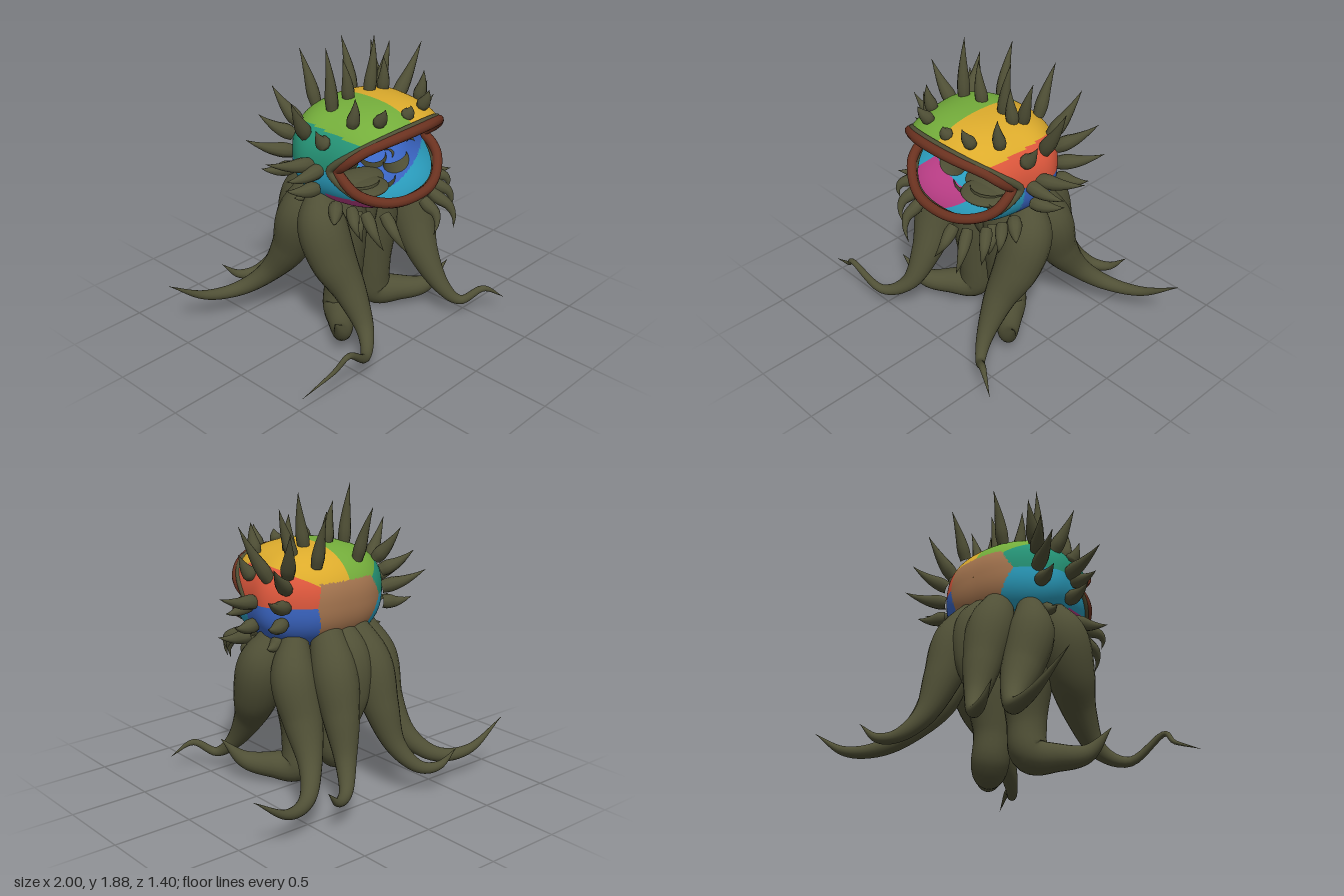
import * as THREE from 'three';

const mat = (name, color, double) => {
  const m = new THREE.MeshStandardMaterial({ color, side: double ? THREE.DoubleSide : THREE.FrontSide });
  m.name = name;
  return m;
};

// Smooth wrapped surface from rows of cross-sections; paint(centre) picks a material index
function loft(rows, cols, point, paint) {
  const pos = [], buckets = [];
  for (let i = 0; i <= rows; i++)
    for (let j = 0; j < cols; j++) pos.push(...point(i, j).toArray());
  const at = k => new THREE.Vector3().fromArray(pos, k * 3);
  for (let i = 0; i < rows; i++)
    for (let j = 0; j < cols; j++) {
      const a = i * cols + j, b = i * cols + (j + 1) % cols, c = a + cols, d = b + cols;
      const k = paint ? paint(at(a).add(at(b)).add(at(c)).add(at(d)).multiplyScalar(0.25)) : 0;
      (buckets[k] ??= []).push(a, b, c, b, d, c);
    }
  const geo = new THREE.BufferGeometry();
  const index = [];
  buckets.forEach((list, k) => {
    geo.addGroup(index.length, list.length, k);
    for (const v of list) index.push(v);
  });
  if (!paint) geo.clearGroups();
  geo.setAttribute('position', new THREE.Float32BufferAttribute(pos, 3));
  geo.setIndex(index);
  geo.computeVertexNormals();
  return geo;
}

// Tapered limb through points [x, y, z, radius]
function limb(pts, rows, cols) {
  const path = new THREE.CatmullRomCurve3(pts.map(p => new THREE.Vector3(p[0], p[1], p[2])), false, 'catmullrom', 0.5);
  const size = new THREE.CatmullRomCurve3(pts.map(p => new THREE.Vector3(p[3], 0, 0)), false, 'catmullrom', 0.5);
  const rings = [];
  let n = new THREE.Vector3(0.31, 0.2, 0.93);
  for (let i = 0; i <= rows; i++) {
    const t = path.getTangent(i / rows);
    n = n.clone().addScaledVector(t, -n.dot(t)).normalize();
    rings.push({ p: path.getPoint(i / rows), n, b: t.clone().cross(n), r: Math.max(0.001, size.getPoint(i / rows).x) });
  }
  return loft(rows, cols, (i, j) => {
    const { p, n, b, r } = rings[i], a = j / cols * Math.PI * 2;
    return p.clone().addScaledVector(n, r * Math.cos(a)).addScaledVector(b, r * Math.sin(a));
  });
}

// Rounded-box-like ellipsoid of the head, with cheeks swelling behind the mouth
const C = new THREE.Vector3(0, 1.21, 0.12), A = [0.43, 0.32, 0.435], E = 2.4;
function headPoint(t, phi) {
  const d = new THREE.Vector3(Math.sin(phi) * Math.cos(t), Math.sin(phi) * Math.sin(t), -Math.cos(phi));
  const q = d.toArray().reduce((s, v, k) => s + Math.abs(v / A[k]) ** E, 0);
  const p = d.multiplyScalar(q ** (-1 / E)).add(C);
  p.x *= 1 + 0.1 * Math.exp(-(((p.z + 0.05) / 0.15) ** 2));
  return p;
}
// Angle at which the shell meets the wedge-shaped mouth
function mouthAngle(t) {
  let lo = Math.PI / 2 - 0.3, hi = Math.PI;
  for (let k = 0; k < 30; k++) {
    const mid = (lo + hi) / 2, p = headPoint(t, mid);
    if (p.z > 0.16 + 1.4 * Math.hypot(p.y - C.y, 0.03)) hi = mid; else lo = mid;
  }
  return lo;
}

// Patch index: tan, green, yellow, red, teal, blue, cyan, magenta
function patch({ x, y, z }) {
  const h = y - C.y, ax = Math.abs(x);
  if (z < -0.12 && x > -0.27 + Math.abs(h) * 0.6 && x < 0.23 - Math.abs(h) * 0.2 && h < 0.14 && h > -0.2) return 0;
  if (h > 0) {
    if (h > (0.6 - 0.2 * Math.max(0, z)) * ax) return x < 0 ? 1 : 2;
    return x < 0 ? 4 : 3;
  }
  if (x > 0.17 && z < 0.17) return 5;
  if (x < -0.04 && z > 0.12 && h < -0.17) return 7;
  return 6;
}

export function createModel() {
  const root = new THREE.Group();
  const olive = mat('olive skin', 0x505036);
  const brown = mat('brown lip', 0x6b3220);
  const patches = [['tan', 0xa5754f], ['green', 0x74ad3b], ['yellow', 0xdcab2c], ['red', 0xdc573c],
    ['teal', 0x259275], ['blue', 0x3b66c4], ['cyan', 0x2b9fc0], ['magenta', 0xb93d85]].map(([n, c]) => mat(n + ' patch', c, true));
  const add = (name, geo, material, parent = root) => {
    const m = new THREE.Mesh(geo, material);
    m.name = name;
    parent.add(m);
    return m;
  };

  // Patchwork head shell, from the back pole to the mouth rim
  const cols = 192, rows = 100;
  const angles = Array.from({ length: cols }, (_, j) => mouthAngle(j / cols * Math.PI * 2));
  add('head', loft(rows, cols, (i, j) => headPoint(j / cols * Math.PI * 2, Math.max(0.002, angles[j] * i / rows)), patch), patches);

  // Lip and its outer rim follow the mouth edge
  const edge = Array.from({ length: 48 }, (_, j) => headPoint(j / 48 * Math.PI * 2, angles[j * 4]));
  const ring = (pts, r) => new THREE.TubeGeometry(new THREE.CatmullRomCurve3(pts, true), 120, r, 10, true);
  const lipPoint = p => {
    const dy = Math.abs(p.y - C.y);
    // blunt corners and a slight ripple along the jaw
    return new THREE.Vector3(p.x * (0.9 + 0.07 * Math.min(1, dy / 0.12)), C.y + (p.y - C.y) * 0.97, p.z + 0.02 + 0.015 * Math.sin(dy * 28));
  };
  add('lip', ring(edge.map(lipPoint), 0.031), brown);
  add('mouthRim', ring(edge.map(p => new THREE.Vector3(p.x * 0.975, C.y + (p.y - C.y) * 1.03, p.z - 0.012)), 0.024), olive);

  // Dark throat patch on the floor of the mouth
  const throat = add('throat', new THREE.SphereGeometry(1, 32, 12), olive);
  throat.scale.set(0.16, 0.03, 0.14);
  throat.position.set(0, 0.92, 0.08);

  // Core that joins the tentacles under the head
  const core = add('body', new THREE.SphereGeometry(1, 32, 20), olive);
  core.scale.set(0.34, 0.14, 0.17);
  core.position.set(0, 0.83, -0.04);

  // Webs of skin between the tentacles, at the rear and the front
  add('rearWeb', limb([[0, 1.05, -0.16, 0.09], [0, 0.87, -0.29, 0.13], [0, 0.65, -0.35, 0.09], [0, 0.45, -0.37, 0]], 24, 16), olive);
  add('frontWeb', limb([[0, 0.95, 0.04, 0.12], [0, 0.8, 0.06, 0.1], [0, 0.66, 0.06, 0.07], [0, 0.55, 0.04, 0]], 24, 16), olive);

  // Tentacles, mirrored in pairs
  const pairs = {
    middleLeg: [[0.14, 0.94, 0.02, 0.14], [0.15, 0.78, 0.01, 0.165], [0.145, 0.58, 0.01, 0.16], [0.135, 0.32, 0.02, 0.122],
      [0.16, 0.12, 0.02, 0.115], [0.27, 0.1, 0.13, 0.085], [0.4, 0.13, 0.26, 0.055], [0.53, 0.28, 0.33, 0]],
    backOuterLeg: [[0.27, 1.0, -0.1, 0.08], [0.33, 0.78, -0.16, 0.14], [0.33, 0.52, -0.25, 0.122], [0.39, 0.3, -0.39, 0.072],
      [0.53, 0.17, -0.53, 0.048], [0.75, 0.18, -0.62, 0.03], [1, 0.34, -0.65, 0]],
    backInnerLeg: [[0.09, 1.06, -0.17, 0.09], [0.14, 0.82, -0.31, 0.14], [0.16, 0.56, -0.4, 0.115], [0.2, 0.32, -0.49, 0.068],
      [0.29, 0.18, -0.6, 0.042], [0.41, 0.17, -0.67, 0.028], [0.52, 0.27, -0.71, 0]],
  };
  const frontTop = [[0.33, 1.0, 0.03, 0.08], [0.38, 0.82, 0.08, 0.15], [0.37, 0.6, 0.16, 0.145], [0.34, 0.4, 0.28, 0.1], [0.36, 0.2, 0.42, 0.055]];
  const flip = pts => pts.map(([x, ...rest]) => [-x, ...rest]);
  for (const [name, pts] of Object.entries(pairs)) {
    add(name + 'Left', limb(pts, 48, 20), olive);
    add(name + 'Right', limb(flip(pts), 48, 20), olive);
  }
  add('frontLegLeft', limb([...frontTop, [0.43, 0.1, 0.53, 0.03], [0.55, 0.17, 0.62, 0.02], [0.68, 0.08, 0.69, 0]], 48, 20), olive);
  add('frontLegRight', limb([...flip(frontTop), [-0.5, 0.13, 0.55, 0.03], [-0.7, 0.27, 0.61, 0.018], [-0.8, 0.19, 0.58, 0.013], [-1, 0.09, 0.53, 0]], 48, 20), olive);

  // Spikes: base, tip, width; slightly bowed by a sideways offset
  const spikes = new THREE.Group();
  spikes.name = 'spikes';
  root.add(spikes);
  const spike = (name, x, y, z, tx, ty, tz, w, bow) => {
    const along = (f, r, k) => [x + (tx - x) * f + bow[0] * k, y + (ty - y) * f + bow[1] * k, z + (tz - z) * f + bow[2] * k, r];
    add(name, limb([along(-0.04, w * 0.85, 0), along(0.18, w, 0.4), along(0.45, w * 0.75, 1), along(0.75, w * 0.35, 0.8), along(1, 0, 0)], 14, 10), olive, spikes);
  };
  // Crown rows on top
  [[-0.23, 1.49, 0.03, -0.25, 1.87, 0], [-0.08, 1.51, 0.02, -0.12, 1.77, 0.01], [0.1, 1.51, 0.02, 0.15, 1.85, 0.01],
    [0.2, 1.5, 0.04, 0.19, 1.72, 0.05], [-0.14, 1.45, -0.2, -0.16, 1.77, -0.31], [0.18, 1.45, -0.2, 0.2, 1.76, -0.31],
    [0.22, 1.48, -0.02, 0.31, 1.77, -0.01], [-0.28, 1.47, 0.24, -0.29, 1.64, 0.27], [-0.18, 1.48, 0.35, -0.2, 1.59, 0.42],
    [0.02, 1.48, 0.39, 0.02, 1.55, 0.42], [0.19, 1.48, 0.36, 0.18, 1.6, 0.42], [0.3, 1.47, 0.24, 0.31, 1.65, 0.27],
  ].forEach(s => spike('crownSpike', ...s, 0.04, [0, 0, 0.008]));
  // Side rows, mirrored
  const sides = [[0.35, 1.41, -0.14, 0.44, 1.68, -0.28], [0.4, 1.37, -0.02, 0.59, 1.7, 0.01], [0.38, 1.33, -0.16, 0.57, 1.5, -0.29],
    [0.44, 1.22, 0.06, 0.74, 1.3, 0.0], [0.43, 1.2, 0.12, 0.65, 1.18, 0.07], [0.39, 1.22, -0.16, 0.62, 1.32, -0.3],
    [0.4, 1.12, -0.15, 0.57, 1.14, -0.23], [0.43, 1.07, 0.09, 0.62, 1.1, 0.03], [0.41, 1.36, 0.14, 0.5, 1.5, 0.14],
    [0.38, 0.97, 0.2, 0.53, 0.95, 0.33], [0.34, 0.98, -0.04, 0.46, 0.96, -0.07]];
  for (const s of [1, -1])
    for (const [x, y, z, tx, ty, tz] of sides) {
      const k = s < 0 && ty > 1.4 ? 0.75 : 1; // shorter on the right
      spike('sideSpike', s * x, y, z, s * (x + (tx - x) * k), y + (ty - y) * k, tz, 0.046, [0, -0.015, 0]);
    }
  // Curved claws hanging below the mouth
  [[-0.36, 0.97, 0.31, -0.41, 0.85, 0.42], [-0.3, 0.94, 0.37, -0.29, 0.75, 0.5], [-0.2, 0.92, 0.43, -0.16, 0.71, 0.57],
    [0.12, 0.91, 0.45, 0.08, 0.73, 0.57], [0.22, 0.92, 0.43, 0.27, 0.71, 0.57], [0.31, 0.94, 0.36, 0.37, 0.77, 0.46],
    [0.37, 0.97, 0.29, 0.43, 0.85, 0.38], [-0.27, 0.9, 0.27, -0.3, 0.75, 0.34], [0.27, 0.9, 0.27, 0.31, 0.75, 0.34],
  ].forEach(s => spike('chinClaw', ...s, 0.04, [s[0] < 0 ? -0.04 : 0.035, 0.02, 0.03]));

  return root;
}
